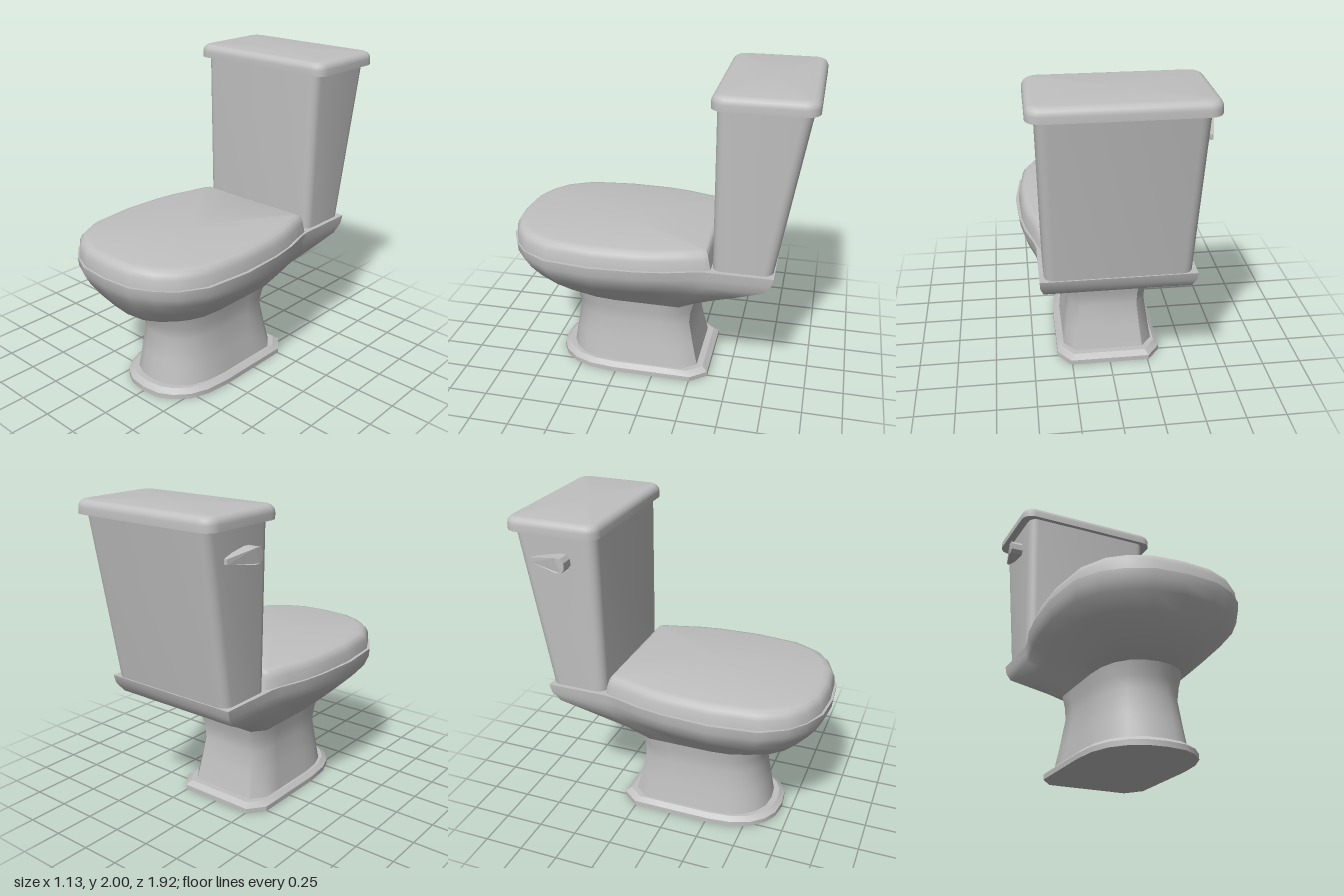
import * as THREE from 'three';
import { toCreasedNormals } from 'three/addons/utils/BufferGeometryUtils.js';

const ceramic = new THREE.MeshStandardMaterial({ color: 0xc0c0c0 });
ceramic.name = 'ceramic grey';

// Half outlines, back centre to front centre: [share of half width, share of length]
const RIM = [[0, 0], [.81, 0], [.81, .23], [.83, .27], [.92, .37], [.97, .47], [1, .64],
  [.94, .81], [.78, .9], [.6, .95], [.35, .99], [0, 1]];
const FOOT = [[0, 0], [.76, 0], [1, .1], [1, .25], [1, .4], [1, .5], [1, .6],
  [.95, .75], [.82, .86], [.6, .94], [.35, .985], [0, 1]];
const SEAT = [[0, 0], [.77, 0], [.81, .02], [.87, .12], [.94, .22], [.98, .33], [1, .54],
  [.94, .76], [.79, .88], [.6, .945], [.35, .988], [0, 1]];

// Mirrored outline, blended from shape a to shape b, fitted to half width and z range
function outline(a, b, t, y, w, zBack, zFront) {
  const half = a.map(([u, v], i) => [
    THREE.MathUtils.lerp(u, b[i][0], t) * w,
    y,
    zBack + THREE.MathUtils.lerp(v, b[i][1], t) * (zFront - zBack),
  ]);
  const mirrored = half.slice(1, -1).reverse().map(([x, py, z]) => [-x, py, z]);
  return [...half, ...mirrored];
}

// Rounded rectangle outline, same turning direction as above
function roundedRect(y, w, zBack, zFront, r, steps = 5) {
  const ring = [];
  const corners = [[1, zBack + r, -90], [1, zFront - r, 0], [-1, zFront - r, 90], [-1, zBack + r, 180]];
  for (const [side, cz, start] of corners) {
    for (let i = 0; i <= steps; i++) {
      const a = THREE.MathUtils.degToRad(start + (90 * i) / steps);
      ring.push([side * (w - r) + Math.cos(a) * r, y, cz + Math.sin(a) * r]);
    }
  }
  return ring;
}

// Closed skin through rings listed from bottom to top
function loft(name, rings, crease = 0.75) {
  const n = rings[0].length;
  const pos = [];
  const tri = (...pts) => pts.forEach((p) => pos.push(...p));
  for (let i = 0; i < rings.length - 1; i++) {
    for (let j = 0; j < n; j++) {
      const k = (j + 1) % n;
      const a = rings[i][j], b = rings[i][k], c = rings[i + 1][k], d = rings[i + 1][j];
      tri(a, d, c);
      tri(a, c, b);
    }
  }
  const cap = (ring, up) => {
    const mid = [0, ring[0][1], (ring[0][2] + ring[Math.floor(n / 2)][2]) / 2];
    for (let j = 0; j < n; j++) {
      const k = (j + 1) % n;
      if (up) tri(mid, ring[k], ring[j]);
      else tri(mid, ring[j], ring[k]);
    }
  };
  cap(rings[0], false);
  cap(rings[rings.length - 1], true);
  const geo = new THREE.BufferGeometry();
  geo.setAttribute('position', new THREE.Float32BufferAttribute(pos, 3));
  const mesh = new THREE.Mesh(toCreasedNormals(geo, crease), ceramic);
  mesh.name = name;
  return mesh;
}

export function createModel() {
  const group = new THREE.Group();
  group.name = 'toilet';

  // Plinth and waisted pedestal: [y, half width, z back, z front]
  const foot = (s) => outline(FOOT, FOOT, 0, ...s);
  group.add(loft('plinth', [
    [0, .34, -.36, .685], [.032, .34, -.36, .685], [.058, .31, -.325, .65],
  ].map(foot), 0.5));
  group.add(loft('pedestal', [
    [.05, .296, -.285, .612], [.2, .272, -.252, .586], [.36, .25, -.222, .558],
    [.44, .255, -.23, .575], [.53, .27, -.255, .61],
  ].map(foot)));

  // Bowl, blending from the pedestal shape to the rim: [blend, y, half width, z back, z front]
  group.add(loft('bowl', [
    [0, .515, .27, -.25, .6], [.35, .6, .36, -.38, .79], [.7, .7, .465, -.555, .87],
    [.9, .785, .54, -.71, .925], [1, .845, .56, -.755, .955], [1, .9, .565, -.77, .96],
  ].map((s) => outline(FOOT, RIM, ...s))));

  // Closed seat lid with a soft upper edge
  group.add(loft('seatLid', [
    [.895, .545, -.39, .945], [.96, .538, -.375, .94], [.99, .526, -.367, .928],
    [1.008, .507, -.357, .908], [1.015, .475, -.34, .875],
  ].map((s) => outline(SEAT, SEAT, 0, ...s))));

  // Tank, its back leaning outward towards the top
  group.add(loft('tank', [
    roundedRect(.89, .43, -.76, -.395, .06), roundedRect(1.93, .452, -.93, -.395, .06),
  ]));

  // Tank lid with a rounded top edge
  const lidRings = [roundedRect(1.918, .505, -.96, -.365, .08)];
  for (let i = 0; i <= 5; i++) {
    const a = (i / 5) * Math.PI / 2;
    const inset = .045 * (1 - Math.cos(a));
    lidRings.push(roundedRect(1.955 + .045 * Math.sin(a), .505 - inset, -.96 + inset, -.365 - inset, .08 - inset * .8));
  }
  group.add(loft('tankLid', lidRings));

  // Flush lever: rounded hub at the front, tapering to a thin tip at the back
  const side = new THREE.Shape();
  side.moveTo(-.8, 1.735);
  [[-.62, 1.71], [-.58, 1.71], [-.56, 1.732], [-.56, 1.775], [-.58, 1.8], [-.62, 1.8], [-.8, 1.765]]
    .forEach(([z, y]) => side.lineTo(z, y));
  const lever = new THREE.ExtrudeGeometry(side, { depth: .1, bevelEnabled: false });
  lever.rotateY(-Math.PI / 2); // shape x becomes z, depth runs to -x
  lever.translate(-.43, 0, 0);
  const p = lever.attributes.position;
  for (let i = 0; i < p.count; i++) {
    if (p.getZ(i) < -.7) p.setX(i, p.getX(i) < -.5 ? -.485 : -.465);
  }
  lever.computeVertexNormals();
  const leverMesh = new THREE.Mesh(lever, ceramic);
  leverMesh.name = 'flushLever';
  group.add(leverMesh);

  return group;
}
